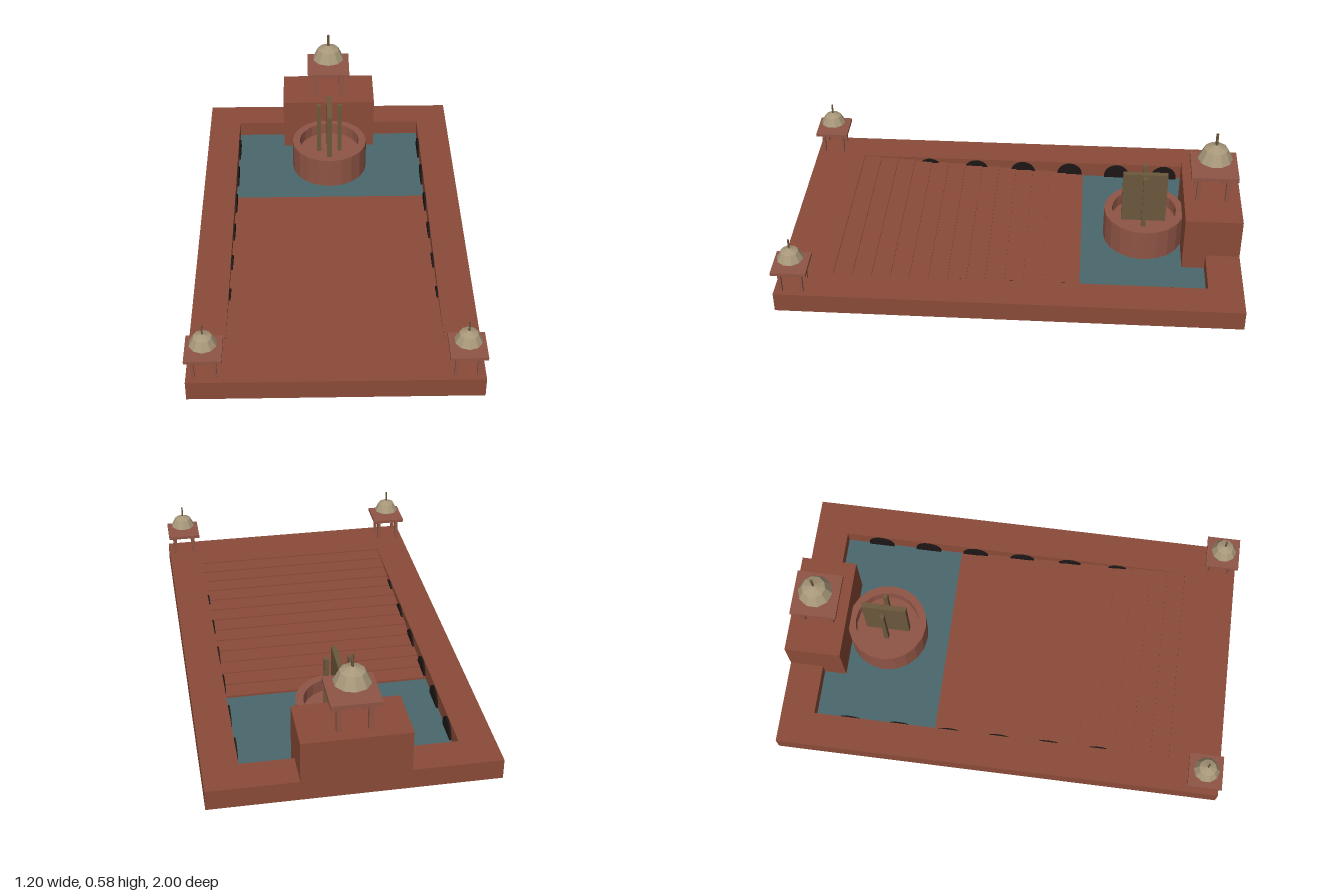
import * as THREE from 'three';

const mat = (color) =>
  new THREE.MeshStandardMaterial({ color, flatShading: true, side: THREE.DoubleSide });

export function createModel() {
  const model = new THREE.Group();
  const brick = mat(0x8a4b38), stone = mat(0x8f5445), water = mat(0x4b686c);
  const wood = mat(0x6b583c), plaster = mat(0xa8987a), niche = mat(0x1c1715);

  const add = (parent, name, geometry, material, x = 0, y = 0, z = 0) => {
    const mesh = new THREE.Mesh(geometry, material);
    mesh.name = name;
    mesh.position.set(x, y, z);
    parent.add(mesh);
    return mesh;
  };
  // Box standing on y0
  const block = (parent, name, w, h, d, material, x, y0, z) =>
    add(parent, name, new THREE.BoxGeometry(w, h, d), material, x, y0 + h / 2, z);
  // Box without its underside
  const shell = (parent, name, w, h, d, material, x, y0, z) => {
    const mesh = block(parent, name, w, h, d, material, x, y0, z);
    const index = Array.from(mesh.geometry.index.array);
    index.splice(18, 6);
    mesh.geometry.setIndex(index);
    mesh.geometry.clearGroups();
    return mesh;
  };

  // Rim around the pool, hollow below
  const H = 0.09;
  for (const s of [-1, 1]) {
    shell(model, 'sideWall', 0.15, H, 2, brick, s * 0.525, 0, 0);
    shell(model, s > 0 ? 'frontWall' : 'backWall', 1.2, H, 0.15, brick, 0, 0, s * 0.925);
  }

  // Wide steps descending from the front to the water
  const steps = 14, tread = 1.15 / steps;
  for (let i = 0; i < steps; i++) {
    const top = H - (i * 0.062) / (steps - 1);
    shell(model, 'step', 0.9, top - 0.015, tread, brick, 0, 0.015, 0.85 - (i + 0.5) * tread);
  }

  // Water surface
  add(model, 'water', new THREE.PlaneGeometry(0.9, 0.55).rotateX(-Math.PI / 2), water, 0, 0.018, -0.575);

  // Arched niches along both inner walls
  const arch = new THREE.Shape();
  arch.moveTo(-0.06, 0);
  arch.lineTo(-0.06, 0.02);
  arch.absarc(0, 0.02, 0.06, Math.PI, 0, true);
  arch.lineTo(0.06, 0);
  const archGeometry = new THREE.ExtrudeGeometry(arch, { depth: 0.016, bevelEnabled: false, curveSegments: 6 });
  archGeometry.translate(0, 0, -0.008).rotateY(Math.PI / 2);
  for (const s of [-1, 1])
    for (let i = 0; i < 6; i++) add(model, 'niche', archGeometry, niche, s * 0.45, 0.005, -0.69 + i * 0.228);

  // Round well with a sunken floor
  const wellProfile = [[0.18, 0.01], [0.18, 0.165], [0.145, 0.165], [0.145, 0.11], [0, 0.11]];
  add(model, 'well', new THREE.LatheGeometry(wellProfile.map((p) => new THREE.Vector2(...p)), 20), stone, 0, 0, -0.58);

  // Upright board and its two posts in the well
  block(model, 'wellBoard', 0.024, 0.25, 0.2, wood, 0, 0.11, -0.578);
  for (const s of [-1, 1]) block(model, 'wellPost', 0.02, 0.36, 0.02, wood, s * 0.05, 0.01, -0.578);

  // Tower block at the back
  shell(model, 'tower', 0.45, 0.275, 0.25, brick, 0, 0, -0.875);

  // Domed pavilion: four posts, slab, dome and finial
  const pavilion = (name, x, y, z, o) => {
    const g = new THREE.Group();
    g.name = name;
    g.position.set(x, y, z);
    model.add(g);
    for (const sx of [-1, 1])
      for (const sz of [-1, 1])
        block(g, 'pavilionPost', o.post, o.slabY, o.post, stone, sx * o.spread, 0, sz * o.spread);
    block(g, 'pavilionSlab', o.slab, o.slabH, o.slab, stone, 0, o.slabY, 0);
    const points = o.dome.map((p) => new THREE.Vector2(...p));
    add(g, 'dome', new THREE.LatheGeometry(points, 10), plaster);
    const apex = o.dome[o.dome.length - 1][1];
    const rod = o.top - apex + 0.01;
    add(g, 'finial', new THREE.CylinderGeometry(o.rod, o.rod, rod, 6), wood, 0, o.top - rod / 2, 0);
  };

  pavilion('towerPavilion', 0, 0.275, -0.875, {
    post: 0.02, spread: 0.064, slab: 0.205, slabY: 0.127, slabH: 0.018, rod: 0.006, top: 0.31,
    dome: [[0.077, 0.182], [0.052, 0.234], [0, 0.255]],
  });
  for (const s of [-1, 1])
    pavilion('cornerPavilion', s * 0.525, H, 0.925, {
      post: 0.014, spread: 0.045, slab: 0.15, slabY: 0.102, slabH: 0.014, rod: 0.004, top: 0.24,
      dome: [[0.057, 0.143], [0.038, 0.181], [0, 0.196]],
    });

  return model;
}
